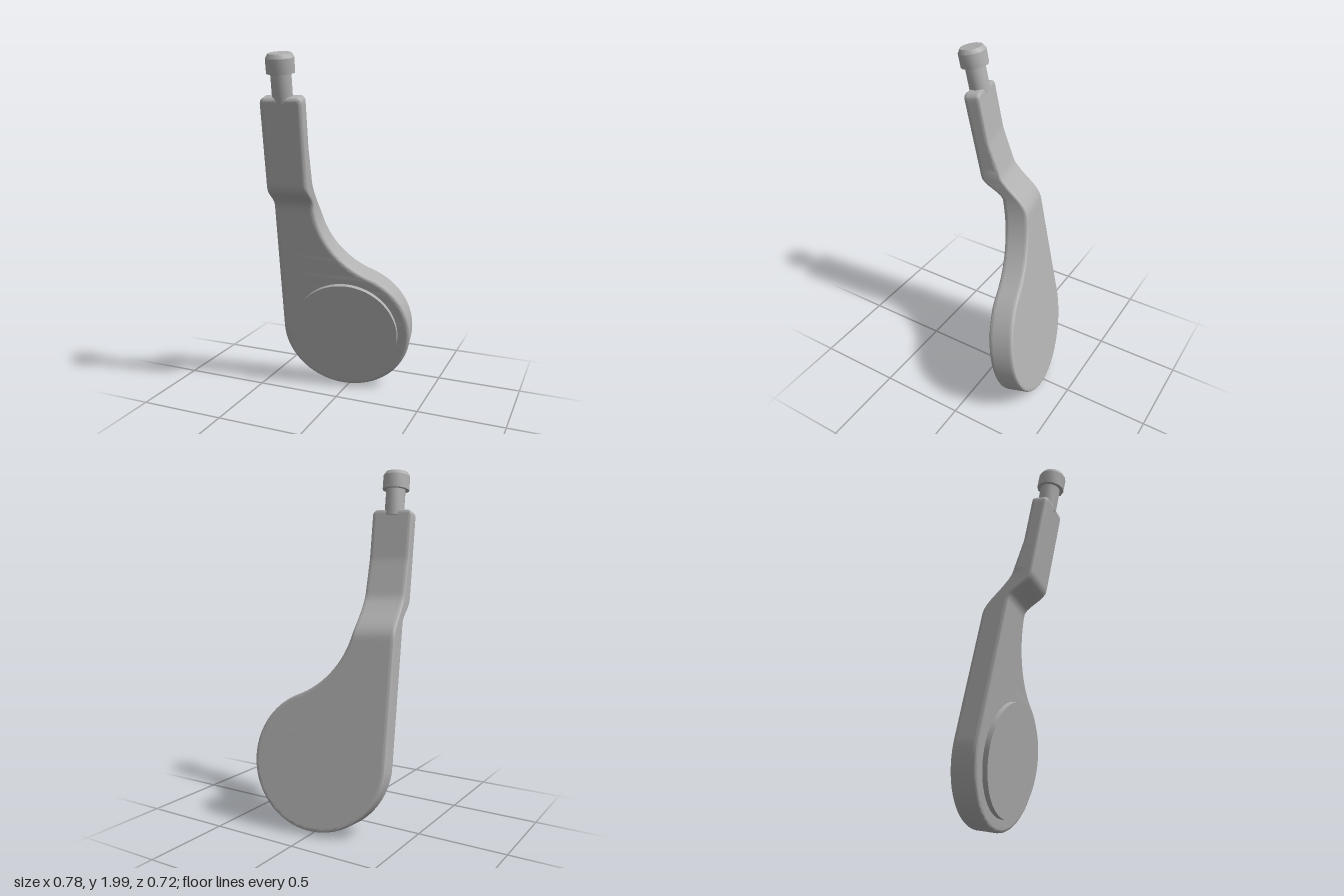
import * as THREE from 'three';
import { toCreasedNormals } from 'three/addons/utils/BufferGeometryUtils.js';

const R = 0.386;            // paddle radius
const ARM = -0.155;         // right edge of the arm
const TOP = 1.425;          // top of the arm
const CORNER = 0.03;
const { smoothstep, clamp } = THREE.MathUtils;

// Front and back depth of the plate at height v: the arm steps forward and thins
const frontDepth = v => 0.106 * smoothstep(v, 0.785, 0.93);
const backDepth = v => -0.145 + 0.12 * smoothstep(v, 0.69, 0.94) + 0.037 * clamp((v - 0.88) / 0.26, 0, 1);

// Matching right and left outline points, from the bottom up
function outlineRows() {
  const right = [], left = [];
  const add = (u, v, inset = 0) => {
    right.push([u, v]);
    left.push([v < 0 ? -Math.sqrt(Math.max(0, R * R - v * v)) : -R + inset, v]);
  };
  const r = 0.5, cu = ARM + r, cv = Math.sqrt((R + r) ** 2 - cu * cu);
  const join = Math.atan2(cv, cu);
  for (let i = 0; i <= 40; i++) {              // round paddle
    const a = -Math.PI / 2 + (join + Math.PI / 2) * i / 40;
    add(R * Math.cos(a), R * Math.sin(a));
  }
  for (let i = 1; i <= 24; i++) {              // concave shoulder
    const a = join + Math.PI + (-join) * i / 24;
    add(cu + r * Math.cos(a), cv + r * Math.sin(a));
  }
  const end = TOP - CORNER;
  for (let i = 1; i <= 28; i++) add(ARM, cv + (end - cv) * i / 28);   // straight arm
  for (let i = 1; i <= 5; i++) {               // rounded top corners
    const a = Math.PI / 2 * i / 5, inset = CORNER * (1 - Math.cos(a));
    add(ARM - inset, end + CORNER * Math.sin(a), inset);
  }
  return { right, left };
}

function bodyGeometry() {
  const { right, left } = outlineRows();
  const n = right.length - 1;
  const loop = [...right, ...left.slice(1).reverse()];
  const count = loop.length;

  // Rings of [inset, depth below front, or height above back]
  const rings = [[0.028, 0, 'front']];
  const fillet = (radius, side) => {
    const list = [];
    for (let i = 0; i <= 4; i++) {
      const a = Math.PI / 2 * i / 4;
      list.push([radius * (1 - Math.sin(a)), radius * (1 - Math.cos(a)), side]);
    }
    return list;
  };
  rings.push(...fillet(0.02, 'front'), [0, 0.028, 'front'], [0, 0.022, 'back']);
  rings.push(...fillet(0.014, 'back').reverse(), [0.024, 0, 'back']);

  const pos = [], index = [];
  for (const [inset, depth, side] of rings) {
    for (let i = 0; i < count; i++) {
      const p = loop[(i + count - 1) % count], q = loop[(i + 1) % count];
      const du = q[0] - p[0], dv = q[1] - p[1], len = Math.hypot(du, dv);
      const u = loop[i][0] - inset * dv / len, v = loop[i][1] + inset * du / len;
      pos.push(u, v, side === 'front' ? frontDepth(v) - depth : backDepth(v) + depth);
    }
  }
  for (let k = 0; k < rings.length - 1; k++) {
    for (let i = 0; i < count; i++) {
      const j = (i + 1) % count, a = k * count, b = a + count;
      index.push(a + i, b + i, a + j, b + i, b + j, a + j);
    }
  }
  // Front and back faces as strips across each row
  const last = (rings.length - 1) * count;
  for (let k = 0; k < n; k++) {
    const r0 = k, r1 = k + 1, l0 = (count - k) % count, l1 = count - k - 1;
    index.push(r0, r1, l1);
    index.push(last + r0, last + l1, last + r1);
    if (k > 0) {
      index.push(r0, l1, l0);
      index.push(last + r0, last + l0, last + l1);
    }
  }
  const g = new THREE.BufferGeometry();
  g.setAttribute('position', new THREE.Float32BufferAttribute(pos, 3));
  g.setIndex(index);
  return toCreasedNormals(g, 0.6);
}

export function createModel() {
  const group = new THREE.Group();
  group.name = 'paddleLever';
  const grey = new THREE.MeshStandardMaterial({ color: 0xb0b0b0 });
  grey.name = 'grey';

  // Tilted frame that carries every part
  const tilted = new THREE.Group();
  tilted.name = 'lever';
  const w = new THREE.Vector3(0.17, -0.2, 1).normalize();
  const v = new THREE.Vector3(0, 1, 0).addScaledVector(w, -w.y).normalize();
  const u = new THREE.Vector3().crossVectors(v, w);
  tilted.quaternion.setFromRotationMatrix(new THREE.Matrix4().makeBasis(u, v, w));
  tilted.position.set(0.01, 0.383, -0.125);
  group.add(tilted);

  const add = (name, geometry, x = 0, y = 0, z = 0) => {
    const mesh = new THREE.Mesh(geometry, grey);
    mesh.name = name;
    mesh.position.set(x, y, z);
    tilted.add(mesh);
    return mesh;
  };

  add('paddleAndArm', bodyGeometry());

  // Raised round pad on the front
  const pad = new THREE.CylinderGeometry(0.314, 0.314, 0.04, 72);
  pad.rotateX(Math.PI / 2);
  add('roundPad', pad, 0, 0, 0.009);

  // Pin with a chamfered twelve-sided head
  const profile = [[0, -0.03], [0.056, -0.03], [0.056, 0.12], [0.077, 0.12],
    [0.077, 0.198], [0.063, 0.22], [0, 0.22]].map(p => new THREE.Vector2(...p));
  add('pin', toCreasedNormals(new THREE.LatheGeometry(profile, 12), 0.55), -0.27, TOP, 0.055);

  return group;
}
